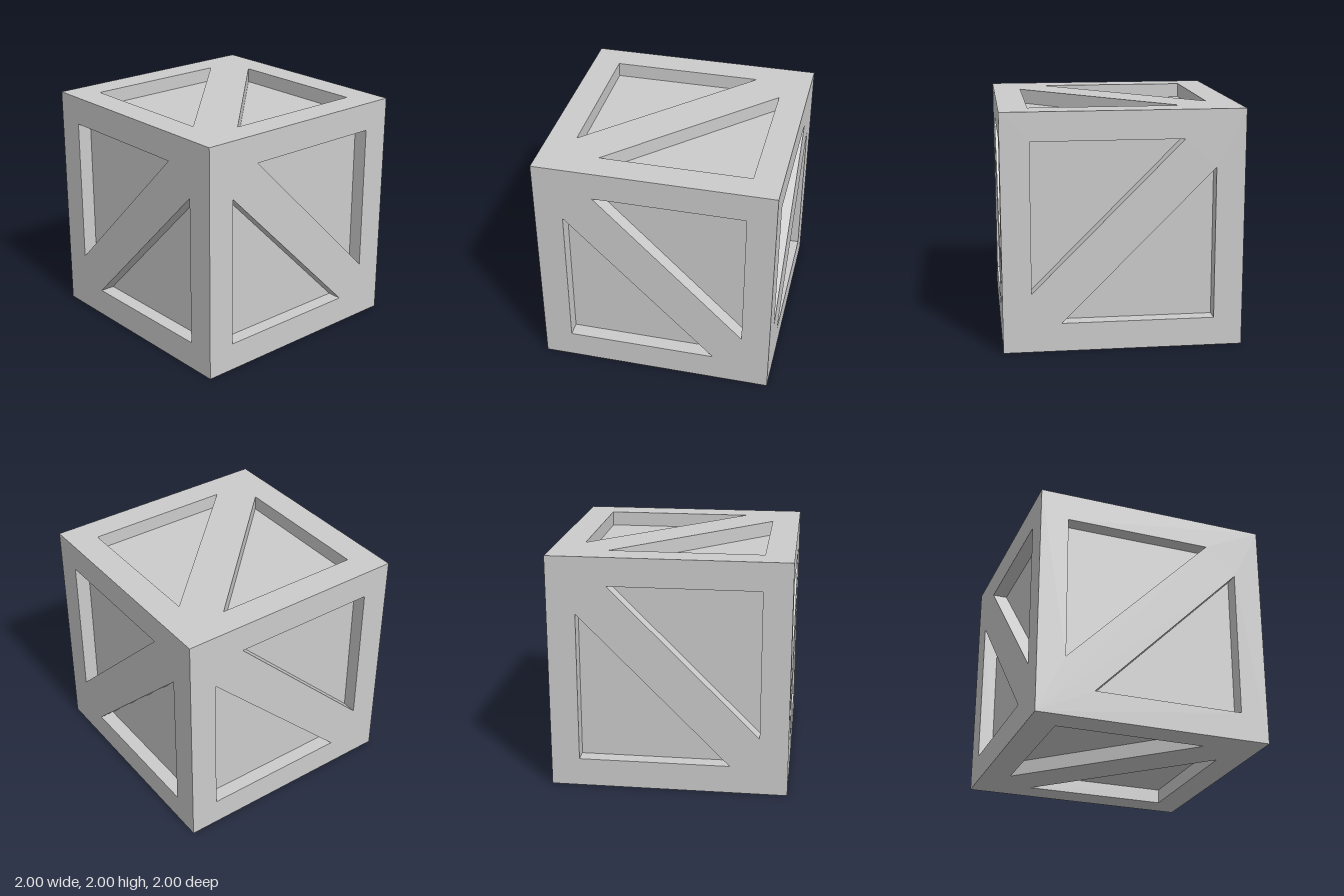
import * as THREE from 'three';
import { mergeGeometries } from 'three/addons/utils/BufferGeometryUtils.js';

const DEPTH = 0.125; // recess depth
const IN = 0.76;     // inner edge of the frame

// The two triangular recesses either side of the diagonal brace
const RECESSES = [
  [[-0.5, IN], [IN, -0.5], [IN, IN]],
  [[-IN, 0.52], [-IN, -IN], [0.515, -IN]],
];

const toPoints = (tri, mx, my) => {
  const pts = tri.map(([x, y]) => new THREE.Vector2(x * mx, y * my));
  return THREE.ShapeUtils.isClockWise(pts) ? pts.reverse() : pts;
};

// Inward-facing walls around one recess
function recessWalls(pts) {
  const pos = [];
  pts.forEach((a, i) => {
    const b = pts[(i + 1) % pts.length];
    pos.push(a.x, a.y, 0, b.x, b.y, 0, b.x, b.y, -DEPTH);
    pos.push(a.x, a.y, 0, b.x, b.y, -DEPTH, a.x, a.y, -DEPTH);
  });
  const geo = new THREE.BufferGeometry();
  geo.setAttribute('position', new THREE.Float32BufferAttribute(pos, 3));
  geo.computeVertexNormals();
  return geo;
}

const flat = (shape) => {
  const geo = new THREE.ShapeGeometry(shape).toNonIndexed();
  geo.deleteAttribute('uv');
  return geo;
};

// One crate side: square frame with diagonal brace, and the sunken panels
function createSide(name, mx, my, material) {
  const side = new THREE.Group();
  side.name = name;
  const holes = RECESSES.map((tri) => toPoints(tri, mx, my));

  const square = new THREE.Shape([[-1, -1], [1, -1], [1, 1], [-1, 1]].map(([x, y]) => new THREE.Vector2(x, y)));
  square.holes = holes.map((pts) => new THREE.Path(pts));
  const frame = new THREE.Mesh(mergeGeometries([flat(square), ...holes.map(recessWalls)]), material);
  frame.name = 'frameAndBrace';

  const panels = new THREE.Mesh(mergeGeometries(holes.map((pts) => flat(new THREE.Shape(pts)))), material);
  panels.name = 'sunkenPanels';
  panels.position.z = -DEPTH;

  side.add(frame, panels);
  return side;
}

export function createModel() {
  const crate = new THREE.Group();
  crate.name = 'crate';
  const material = new THREE.MeshStandardMaterial({ color: 0xcccccc, flatShading: true });
  const q = Math.PI / 2;

  // name, rotation x, rotation y, mirror x, mirror y
  const sides = [
    ['frontSide', 0, 0, 1, 1],
    ['backSide', 0, 2 * q, 1, 1],
    ['leftSide', 0, q, -1, 1],
    ['rightSide', 0, -q, -1, 1],
    ['topSide', -q, 0, 1, -1],
    ['bottomSide', q, 0, 1, 1],
  ];
  for (const [name, rx, ry, mx, my] of sides) {
    const side = createSide(name, mx, my, material);
    side.rotation.set(rx, ry, 0);
    side.position.set(0, 0, 1).applyEuler(side.rotation);
    side.position.y += 1;
    crate.add(side);
  }
  return crate;
}
